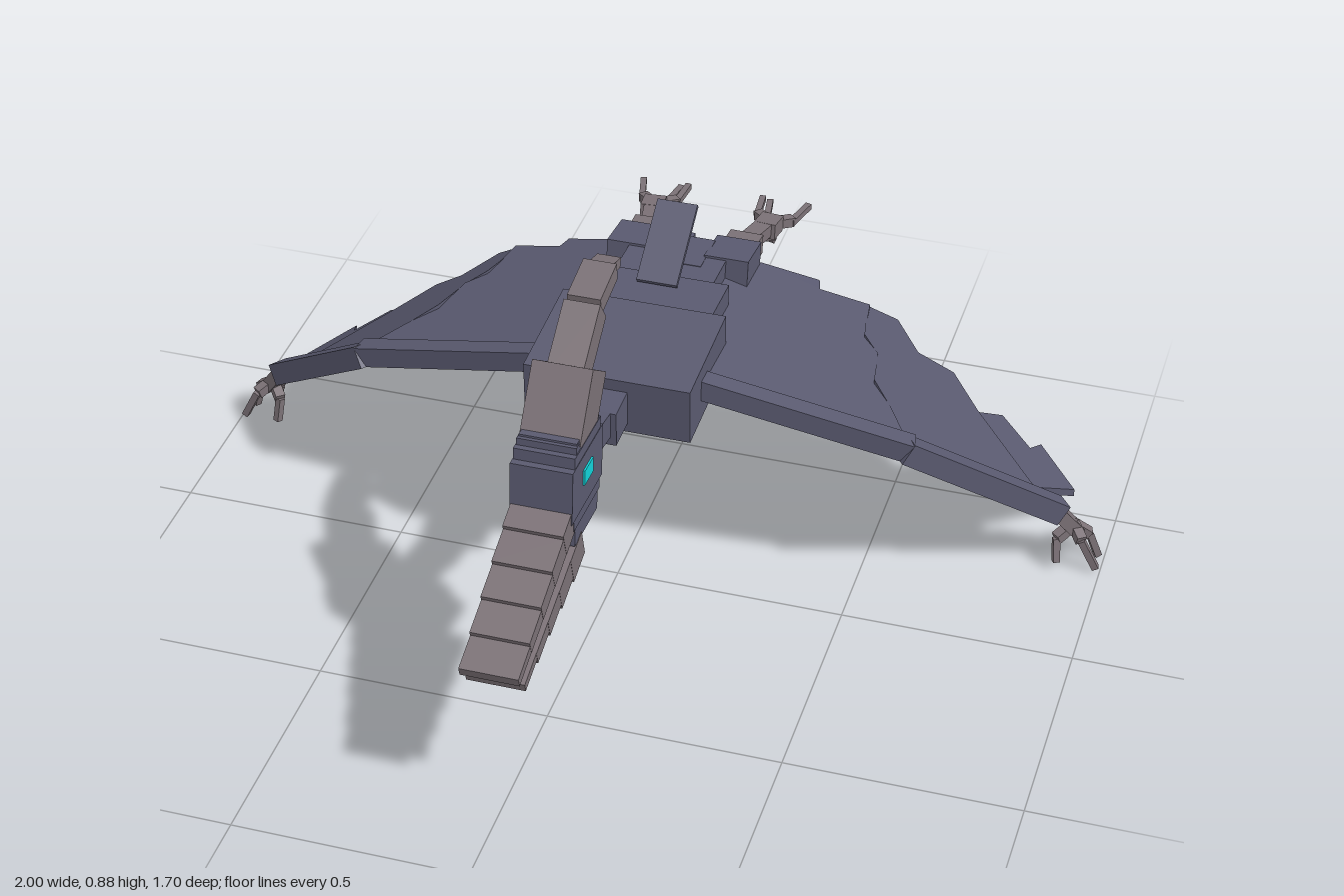
import * as THREE from 'three';

const mat = (name, color) => {
  const m = new THREE.MeshStandardMaterial({ color });
  m.name = name;
  return m;
};

export function createModel() {
  const root = new THREE.Group();
  root.name = 'flyingReptile';
  const slate = mat('slateHide', 0x5a5a70);
  const taupe = mat('taupeHorn', 0x7b7176);
  const cyan = mat('cyanEye', 0x12d4da);

  const part = (name, parent = root) => {
    const g = new THREE.Group();
    g.name = name;
    parent.add(g);
    return g;
  };
  // Box by size and centre, tilted about x
  const box = (parent, name, m, [w, h, d], [x, y, z], tilt = 0) => {
    const mesh = new THREE.Mesh(new THREE.BoxGeometry(w, h, d), m);
    mesh.name = name;
    mesh.position.set(x, y, z);
    mesh.rotation.x = tilt;
    parent.add(mesh);
    return mesh;
  };
  // Box running from point a to point b
  const bar = (parent, name, m, a, b, w, h) => {
    const p = new THREE.Vector3(...a), q = new THREE.Vector3(...b);
    const mesh = new THREE.Mesh(new THREE.BoxGeometry(w, h, p.distanceTo(q)), m);
    mesh.name = name;
    mesh.position.copy(p).add(q).multiplyScalar(0.5);
    mesh.lookAt(q);
    parent.add(mesh);
  };
  // Thin sloping plate: outline in x and z, height from a plane
  const plate = (parent, name, s, pts, height, t = 0.014) => {
    const shape = new THREE.Shape(pts.map(([x, z]) => new THREE.Vector2(x * s, -z)));
    const geo = new THREE.ExtrudeGeometry(shape, { depth: t, bevelEnabled: false });
    geo.rotateX(-Math.PI / 2);
    const p = geo.attributes.position;
    for (let i = 0; i < p.count; i++) {
      p.setY(i, p.getY(i) - t / 2 + height(p.getX(i) * s, p.getZ(i)));
    }
    geo.computeVertexNormals();
    const mesh = new THREE.Mesh(geo, slate);
    mesh.name = name;
    parent.add(mesh);
  };

  // Torso, hips and tail
  const body = part('body');
  box(body, 'chest', slate, [0.36, 0.13, 0.275], [0, 0.52, -0.057], 0.05);
  box(body, 'waist', slate, [0.29, 0.1, 0.16], [0, 0.522, -0.26], -0.05);
  box(body, 'hips', slate, [0.22, 0.085, 0.14], [0, 0.52, -0.385], -0.05);
  box(body, 'tailBase', slate, [0.13, 0.06, 0.12], [0, 0.53, -0.46], -0.05);
  box(body, 'tailTip', slate, [0.02, 0.02, 0.05], [0, 0.535, -0.53]);
  bar(body, 'raisedTailPlate', slate, [0, 0.58, -0.285], [0, 0.688, -0.445], 0.09, 0.012);

  // Neck
  const neck = part('neck');
  box(neck, 'neckBase', slate, [0.09, 0.08, 0.09], [0, 0.51, 0.115], 0.03);
  bar(neck, 'neckMiddle', slate, [0, 0.515, 0.14], [0, 0.535, 0.25], 0.065, 0.06);
  bar(neck, 'neckTop', slate, [0, 0.53, 0.22], [0, 0.56, 0.33], 0.065, 0.055);

  // Head of overlapping slabs
  const head = part('head');
  box(head, 'skull', slate, [0.124, 0.23, 0.15], [0, 0.57, 0.415], -0.07);
  box(head, 'face', slate, [0.13, 0.12, 0.2], [0, 0.585, 0.42], -0.07);
  box(head, 'brow', slate, [0.128, 0.17, 0.17], [0, 0.585, 0.418], -0.07);
  box(head, 'crown', slate, [0.12, 0.06, 0.11], [0, 0.66, 0.42], -0.07);
  for (const s of [1, -1]) {
    box(head, 'eye', cyan, [0.006, 0.034, 0.056], [s * 0.066, 0.595, 0.422], -0.07);
  }

  // Stepped jaws: flat on the biting edge, thinning towards the tip
  const jaw = (name, z, y, tilt, up, n, len, h0, h1) => {
    const g = part(name, head);
    g.position.set(0, y, z);
    g.rotation.x = tilt;
    for (let i = 0; i < n; i++) {
      const h = h0 + (h1 - h0) * i / (n - 1);
      box(g, 'jawSegment', taupe, [0.126 - i * 0.001, h, len], [0, up * h / 2, len * (i + 0.5)]);
    }
  };
  jaw('upperJaw', 0.48, 0.507, 0.33, 1, 5, 0.078, 0.062, 0.022);
  jaw('lowerJaw', 0.455, 0.468, 0.29, -1, 5, 0.076, 0.07, 0.02);

  // Backswept crest
  const crest = part('crest', head);
  bar(crest, 'crestBase', taupe, [0, 0.65, 0.42], [0, 0.775, 0.33], 0.126, 0.105);
  bar(crest, 'crestMiddle', taupe, [0, 0.745, 0.36], [0, 0.845, 0.225], 0.076, 0.065);
  bar(crest, 'crestUpper', taupe, [0, 0.855, 0.23], [0, 0.872, 0.12], 0.07, 0.04);
  bar(crest, 'crestTip', taupe, [0, 0.876, 0.13], [0, 0.856, 0.064], 0.05, 0.022);

  // Wing planes
  const inner = (x, z) => 0.522 - 0.254 * (x - 0.18) + 0.08 * (z + 0.05);
  const outer = (x, z) => 0.405 - 0.699 * (x - 0.6) + 0.261 * (z + 0.09);
  const tip = (x, z) => outer(x, z) - 0.014;

  for (const s of [1, -1]) {
    const at = ([x, y, z]) => [x * s, y, z];
    const limb = (g, name, m, a, b, w, h = w) => bar(g, name, m, at(a), at(b), w, h);

    // Wing: arm bones and three membranes
    const wing = part(s > 0 ? 'leftWing' : 'rightWing');
    limb(wing, 'upperArm', slate, [0.15, 0.532, -0.02], [0.612, 0.4, -0.1], 0.045, 0.046);
    limb(wing, 'foreArm', slate, [0.598, 0.404, -0.09], [0.9, 0.145, -0.318], 0.045, 0.05);
    plate(wing, 'innerMembrane', s, [
      [0.1, -0.02], [0.18, -0.02], [0.6, -0.1], [0.54, -0.2], [0.49, -0.26], [0.47, -0.38],
      [0.43, -0.42], [0.41, -0.555], [0.3, -0.54], [0.29, -0.575], [0.16, -0.555], [0.1, -0.5],
    ], inner, 0.02);
    plate(wing, 'outerMembrane', s, [
      [0.6, -0.09], [0.89, -0.31], [0.83, -0.345], [0.68, -0.475], [0.605, -0.56],
      [0.53, -0.525], [0.465, -0.6], [0.405, -0.555], [0.43, -0.42], [0.47, -0.38],
      [0.49, -0.26], [0.54, -0.2],
    ], outer, 0.018);
    plate(wing, 'tipMembrane', s, [
      [0.82, -0.33], [0.905, -0.485], [0.81, -0.57], [0.795, -0.515], [0.72, -0.565],
      [0.66, -0.465], [0.74, -0.38],
    ], tip, 0.018);

    // Clawed hand at the wrist
    const hand = part('hand', wing);
    limb(hand, 'palm', taupe, [0.89, 0.15, -0.315], [0.935, 0.085, -0.345], 0.045, 0.03);
    const fingers = [
      [[0.955, 0.085, -0.305], [0.99, 0.015, -0.31]],
      [[0.965, 0.075, -0.35], [0.985, 0.01, -0.365]],
      [[0.93, 0.065, -0.385], [0.945, 0.02, -0.4]],
      [[0.9, 0.08, -0.305], [0.905, 0.025, -0.295]],
    ];
    for (const [knuckle, claw] of fingers) {
      limb(hand, 'finger', taupe, [0.93, 0.1, -0.34], knuckle, 0.022);
      limb(hand, 'claw', taupe, knuckle, claw, 0.015);
    }

    // Trailing leg with splayed toes
    const leg = part(s > 0 ? 'leftLeg' : 'rightLeg');
    limb(leg, 'thigh', slate, [0.11, 0.525, -0.44], [0.11, 0.51, -0.55], 0.1, 0.08);
    limb(leg, 'knee', taupe, [0.108, 0.51, -0.54], [0.11, 0.503, -0.62], 0.075, 0.045);
    limb(leg, 'shin', taupe, [0.112, 0.505, -0.61], [0.132, 0.492, -0.71], 0.04, 0.03);
    limb(leg, 'foot', taupe, [0.132, 0.492, -0.69], [0.137, 0.485, -0.745], 0.05, 0.036);
    for (const [x, end, y] of [[0.095, 0.088, 0.477], [0.118, 0.105, 0.47], [0.175, 0.195, 0.475]]) {
      limb(leg, 'toe', taupe, [0.137, 0.487, -0.73], [x, y, -0.775], 0.022);
      limb(leg, 'toeClaw', taupe, [x, y, -0.765], [end, y, -0.845], 0.014);
    }
    limb(leg, 'hindToe', taupe, [0.135, 0.48, -0.735], [0.13, 0.44, -0.745], 0.024);
    limb(leg, 'hindClaw', taupe, [0.13, 0.445, -0.745], [0.135, 0.425, -0.76], 0.015);
  }
  return root;
}
